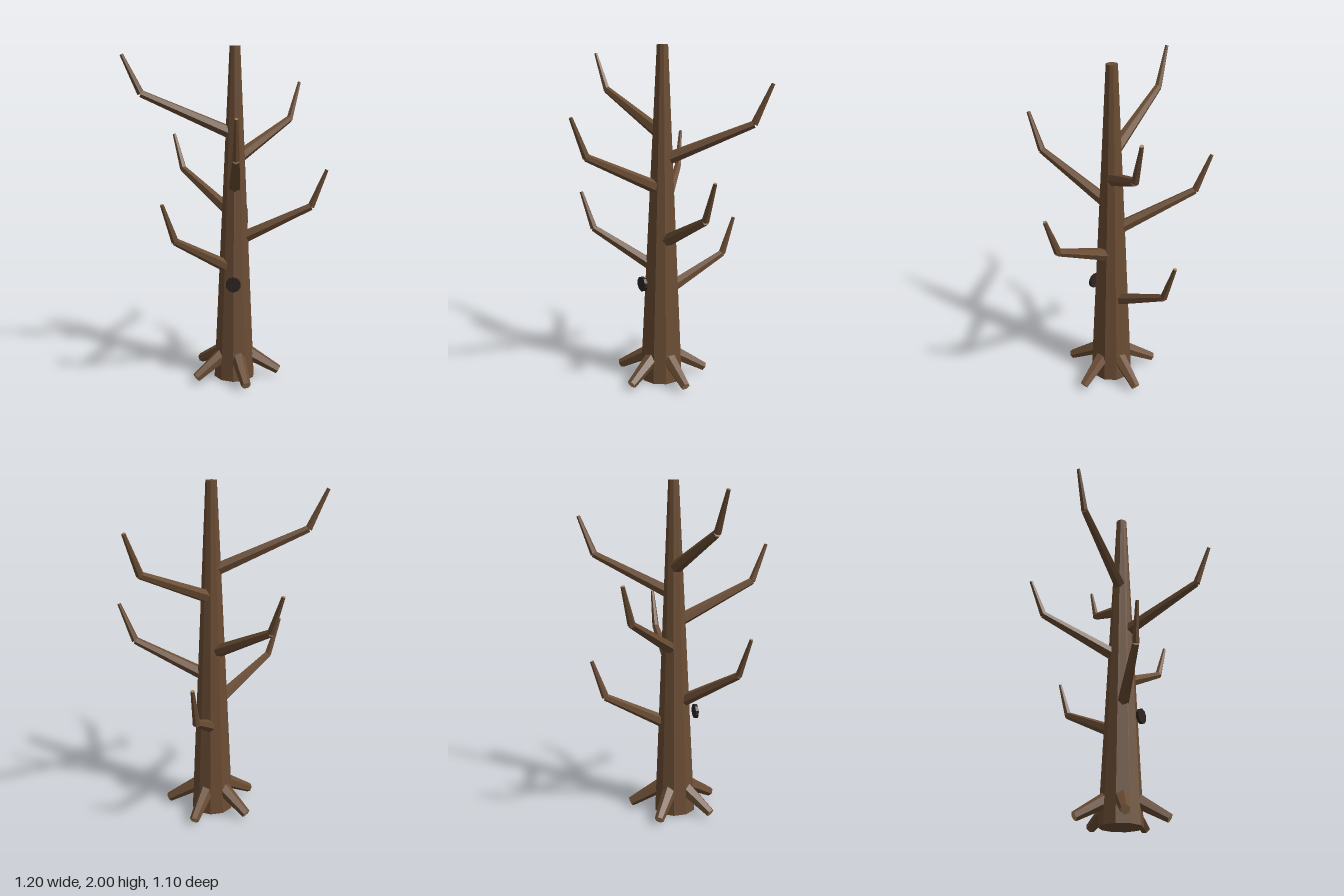
import * as THREE from 'three';

const bark = new THREE.MeshStandardMaterial({ color: 0x6b4d34, flatShading: true });
bark.name = 'bark brown';
const cutWood = new THREE.MeshStandardMaterial({ color: 0xa88558, flatShading: true });
cutWood.name = 'cut wood tan';
const hollow = new THREE.MeshStandardMaterial({ color: 0x2e2422, flatShading: true });
hollow.name = 'hollow dark';

const UP = new THREE.Vector3(0, 1, 0);
const CX = 0.047, CZ = -0.053; // trunk axis
const BASE_R = 0.126, TOP_R = 0.032, HEIGHT = 2;

// Tapered six-sided limb between two points; the end cap may differ in colour.
function limb(name, from, to, r0, r1, endMaterial = bark) {
  const dir = to.clone().sub(from);
  const geometry = new THREE.CylinderGeometry(r1, r0, dir.length(), 6);
  const mesh = new THREE.Mesh(geometry, [bark, endMaterial, bark]);
  mesh.name = name;
  mesh.position.copy(from).add(to).multiplyScalar(0.5);
  mesh.quaternion.setFromUnitVectors(UP, dir.normalize());
  return mesh;
}

// Branch: a rising arm from inside the trunk, then a steeper twig.
function branch(startY, elbow, tip) {
  const group = new THREE.Group();
  group.name = 'branch';
  const e = new THREE.Vector3(...elbow), t = new THREE.Vector3(...tip);
  const trunkR = THREE.MathUtils.lerp(BASE_R, TOP_R, startY / HEIGHT);
  const out = new THREE.Vector3(e.x - CX, 0, e.z - CZ).setLength(trunkR * 0.72);
  const start = new THREE.Vector3(CX + out.x, startY, CZ + out.z);
  group.add(limb('branchArm', start, e, 0.038, 0.022));
  group.add(limb('branchTwig', e, t, 0.022, 0.011, cutWood));
  return group;
}

export function createModel() {
  const tree = new THREE.Group();
  tree.name = 'bareTree';

  // Trunk
  const trunk = new THREE.Mesh(new THREE.CylinderGeometry(TOP_R, BASE_R, HEIGHT, 10), bark);
  trunk.name = 'trunk';
  trunk.position.set(CX, HEIGHT / 2, CZ);
  tree.add(trunk);

  // Branches: start height, elbow, tip
  const branches = [
    [1.51, [-0.49, 1.73, 0.022], [-0.593, 1.95, 0.042]],
    [1.36, [0.375, 1.56, -0.46], [0.435, 1.787, -0.54]],
    [1.195, [0.08, 1.4, 0.45], [0.085, 1.62, 0.54]],
    [1.035, [-0.3, 1.245, -0.39], [-0.362, 1.46, -0.448]],
    [0.88, [0.5, 1.07, -0.046], [0.588, 1.29, -0.043]],
    [0.71, [-0.275, 0.91, 0.235], [-0.34, 1.13, 0.283]],
    [0.57, [0.092, 0.74, -0.465], [0.102, 0.962, -0.54]],
  ];
  for (const b of branches) tree.add(branch(...b));

  // Five roots spread evenly around the foot
  for (let i = 0; i < 5; i++) {
    const a = (i / 5) * Math.PI * 2;
    const at = (r, y) => new THREE.Vector3(CX + Math.cos(a) * r, y, CZ + Math.sin(a) * r);
    tree.add(limb('root', at(0.08, 0.15), at(0.272, 0.037), 0.045, 0.028, cutWood));
  }

  // Knot hole disc on the front
  const knot = new THREE.Mesh(new THREE.CylinderGeometry(0.045, 0.045, 0.018, 10), hollow);
  knot.name = 'knotHole';
  knot.rotation.x = Math.PI / 2;
  knot.position.set(CX, 0.617, 0.08);
  tree.add(knot);

  return tree;
}
